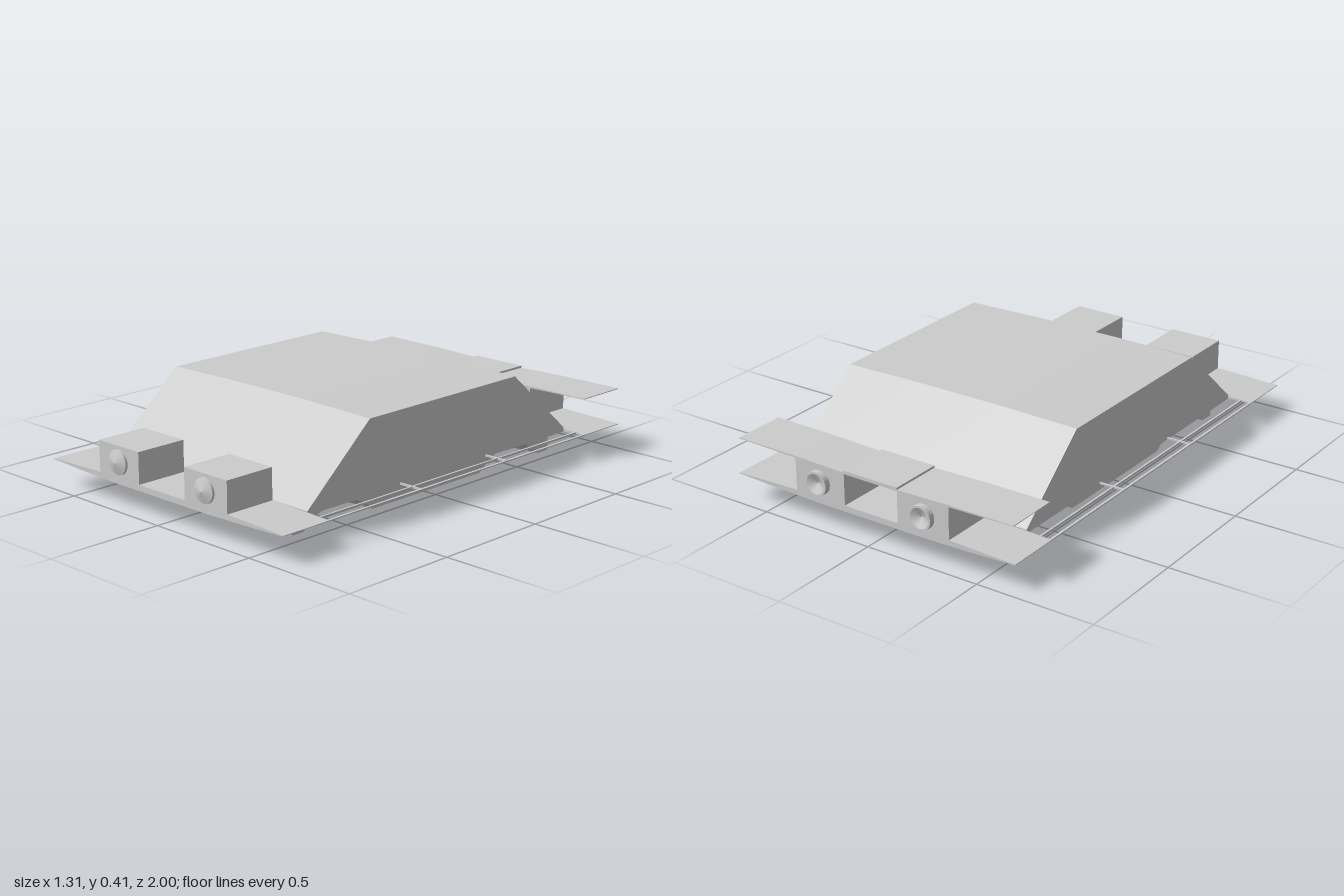
import * as THREE from 'three';

const mat = new THREE.MeshStandardMaterial({ color: 0xcccccc, flatShading: true, side: THREE.DoubleSide });

function add(parent, name, geo, x = 0, y = 0, z = 0) {
  const mesh = new THREE.Mesh(geo, mat);
  mesh.name = name;
  mesh.position.set(x, y, z);
  parent.add(mesh);
  return mesh;
}

function shapeOf(points) {
  return new THREE.Shape(points.map(([x, y]) => new THREE.Vector2(x, y)));
}

// Extrude an (x, y) outline along z, from z0 to z1
function alongZ(points, z0, z1) {
  const geo = new THREE.ExtrudeGeometry(shapeOf(points), { depth: z1 - z0, bevelEnabled: false });
  return geo.translate(0, 0, z0);
}

// Extrude a (z, y) outline along x, centred on x = 0
function alongX(shape, width, steps = 1) {
  const geo = new THREE.ExtrudeGeometry(shape, { depth: width, steps, bevelEnabled: false, curveSegments: 12 });
  return geo.translate(0, 0, -width / 2).rotateY(-Math.PI / 2);
}

// Box given by its limits
function box(parent, name, x0, x1, y0, y1, z0, z1) {
  return add(parent, name, new THREE.BoxGeometry(x1 - x0, y1 - y0, z1 - z0),
    (x0 + x1) / 2, (y0 + y1) / 2, (z0 + z1) / 2);
}

export function createModel() {
  const model = new THREE.Group();
  model.name = 'vehicle';

  // Body: trapezoid side profile with a slightly crowned roof and floor
  const body = alongX(shapeOf([
    [-0.747, 0.1], [0.747, 0.1], [0.747, 0.125], [0.42, 0.413], [-0.42, 0.413], [-0.747, 0.125],
  ]), 1.086, 3);
  const p = body.attributes.position;
  for (let i = 0; i < p.count; i++) {
    if (Math.abs(p.getX(i)) < 0.5) p.setX(i, Math.sign(p.getX(i)) * 0.2);
    else if (p.getY(i) > 0.4) p.setY(i, 0.407);
    else if (p.getY(i) < 0.11) p.setY(i, 0.108);
  }
  body.computeVertexNormals();
  add(model, 'body', body);

  // Thin lens-shaped bumper plates at both ends
  const plate = [
    [-0.653, 0.113], [-0.46, 0.105], [-0.25, 0.1], [0.25, 0.1], [0.46, 0.105], [0.653, 0.113],
    [0.653, 0.116], [0.36, 0.125], [-0.36, 0.125], [-0.653, 0.116],
  ];
  add(model, 'frontBumper', alongZ(plate, 0.745, 0.975));
  add(model, 'rearBumper', alongZ(plate, -0.975, -0.745));

  // Rear deck: raised middle panel and two side panels
  add(model, 'rearDeckMiddle', alongZ([
    [-0.125, 0.256], [0.125, 0.256], [0.125, 0.27], [-0.125, 0.27],
  ], -0.975, -0.747));
  box(model, 'rearRecessWall', -0.125, 0.125, 0.12, 0.258, -0.757, -0.747);

  // Skid outline with two wheel arches
  const skid = new THREE.Shape();
  skid.moveTo(-0.747, 0.108);
  skid.lineTo(-0.747, 0.005);
  for (const z of [-0.5, 0.5]) {
    skid.lineTo(z - 0.187, 0.005);
    skid.quadraticCurveTo(z - 0.1, 0.08, z, 0.08);
    skid.quadraticCurveTo(z + 0.1, 0.08, z + 0.187, 0.005);
  }
  skid.lineTo(0.747, 0.005);
  skid.lineTo(0.747, 0.108);
  skid.closePath();

  for (const s of [1, -1]) {
    const side = new THREE.Group();
    side.name = s > 0 ? 'leftSide' : 'rightSide';
    model.add(side);
    const span = (a, b) => (s > 0 ? [a, b] : [-b, -a]);

    // Skid, its sole tilted up towards the outside
    const geo = alongX(skid, 0.21);
    const q = geo.attributes.position;
    for (let i = 0; i < q.count; i++) q.setY(i, q.getY(i) + s * q.getX(i) * 0.045);
    geo.computeVertexNormals();
    add(side, 'skid', geo, s * 0.355);

    // Lamp housings
    box(side, 'frontLampHousing', ...span(0.13, 0.362), 0.12, 0.254, 0.75, 0.975);
    box(side, 'rearLampHousing', ...span(0.125, 0.36), 0.12, 0.258, -0.975, -0.747);

    // Side panel of the rear deck
    add(side, 'rearDeckSide', alongZ([
      [s * 0.125, 0.254], [s * 0.36, 0.259], [s * 0.645, 0.265],
      [s * 0.645, 0.268], [s * 0.36, 0.267], [s * 0.125, 0.261],
    ], -0.975, -0.747));

    // Front lamp: short rim with a conical lens
    const lens = new THREE.LatheGeometry([
      new THREE.Vector2(0.05, 0), new THREE.Vector2(0.05, 0.01), new THREE.Vector2(0, 0.025),
    ], 24).rotateX(Math.PI / 2);
    add(side, 'frontLamp', lens, s * 0.245, 0.19, 0.975);

    // Rear lamp: rim with a hollow cone inside
    const cup = new THREE.LatheGeometry([
      new THREE.Vector2(0.05, 0), new THREE.Vector2(0.05, 0.025),
      new THREE.Vector2(0.042, 0.025), new THREE.Vector2(0, 0.005),
    ], 24).rotateX(-Math.PI / 2);
    add(side, 'rearLamp', cup, s * 0.245, 0.19, -0.975);

    // Side rails and their cross bars
    box(side, 'innerRail', ...span(0.6, 0.608), 0.11, 0.118, -0.75, 0.75);
    box(side, 'outerRail', ...span(0.643, 0.653), 0.112, 0.117, -0.75, 0.75);
    for (const z of [-0.25, 0.25]) {
      box(side, 'railBar', ...span(0.54, 0.65), 0.111, 0.118, z - 0.004, z + 0.004);
    }
  }
  return model;
}
